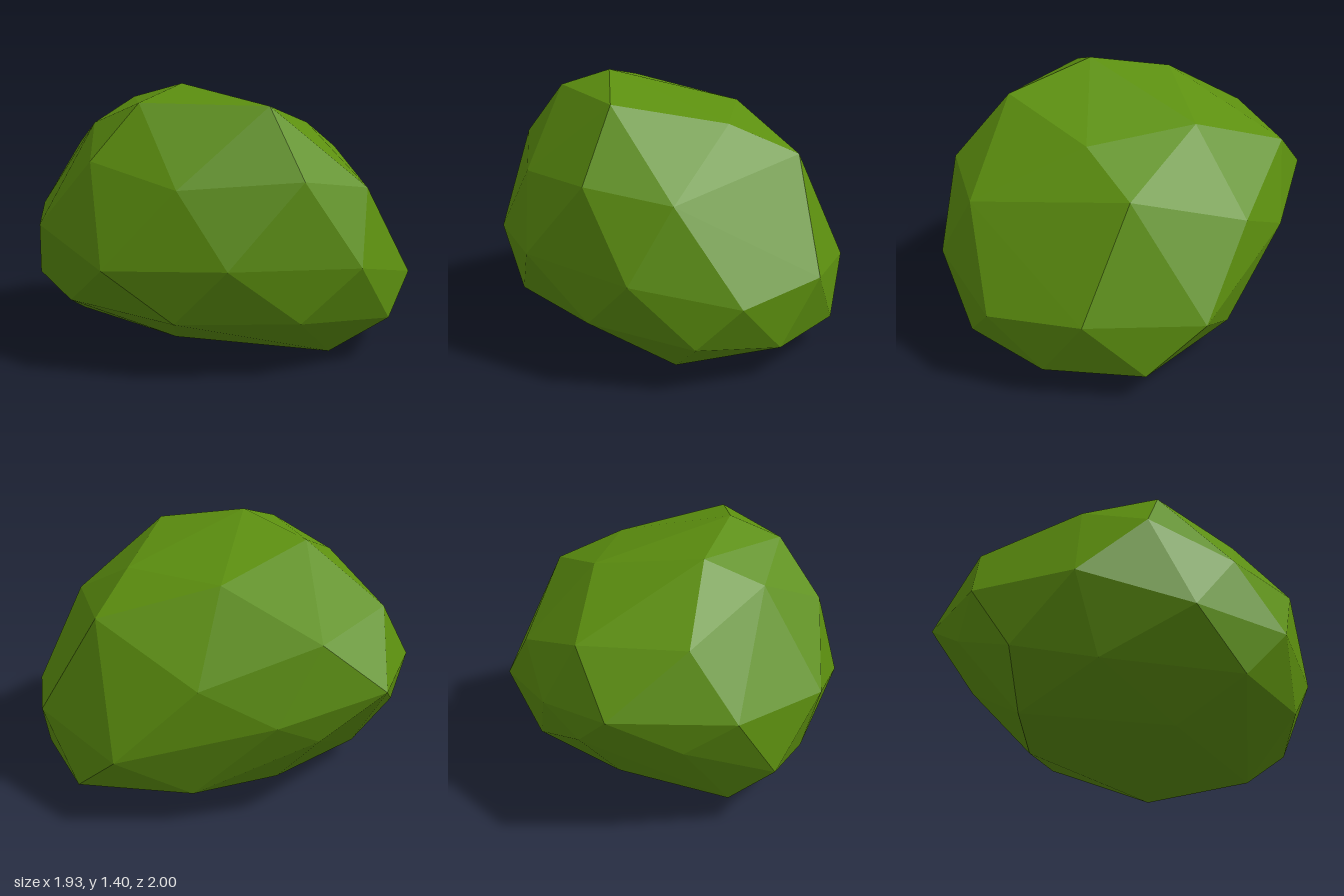
import * as THREE from 'three';
import { ConvexGeometry } from 'three/addons/geometries/ConvexGeometry.js';

// Faceted foliage clump: loose horizontal rings of corners, wrapped by a convex skin
const crown = [
  [-0.28, 1.4, 0.2], [0, 1.3, 0.63], [-0.54, 1.31, 0.27], [-0.38, 1.315, -0.24],
  [0.22, 1.2, -0.33], [0.44, 1.18, 0.23],
];
const shoulder = [
  [0.74, 1.02, 0.03], [0.45, 0.9, 0.815], [0.03, 0.965, 0.93], [-0.5, 0.92, 0.65], [-0.79, 1.03, 0.25],
  [-0.65, 1.19, -0.11], [-0.56, 1.04, -0.67], [-0.03, 1.0, -0.835], [0.51, 0.79, -0.57],
];
const waist = [
  [0.965, 0.475, 0.27], [0.77, 0.43, 0.735], [0.31, 0.545, 1], [-0.345, 0.565, 0.885], [-0.82, 0.53, 0.475],
  [-0.97, 0.675, -0.07], [-0.8, 0.7, -0.62], [-0.31, 0.745, -1], [0.21, 0.61, -0.81], [0.86, 0.4, -0.34],
];
const skirt = [
  [0.92, 0.15, -0.04], [0.85, 0.16, 0.47], [0.58, 0.23, 0.84], [0.03, 0.28, 0.91], [-0.53, 0.285, 0.68],
  [-0.84, 0.28, 0.02], [-0.89, 0.35, -0.39], [-0.58, 0.54, -0.75], [-0.03, 0.485, -0.84], [0.5, 0.19, -0.5],
];
const base = [
  [0.59, 0, 0.05], [0.36, 0.02, 0.63], [-0.37, 0.105, 0.32], [-0.64, 0.11, -0.4],
  [-0.03, 0.12, -0.5], [0.2, 0.045, -0.08],
];

export function createModel() {
  const leafGreen = new THREE.MeshStandardMaterial({ color: 0x5c8f0f });
  leafGreen.name = 'leafGreen';

  const points = [crown, shoulder, waist, skirt, base].flat().map((p) => new THREE.Vector3(...p));
  const foliage = new THREE.Mesh(new ConvexGeometry(points), leafGreen);
  foliage.name = 'foliage';

  const bush = new THREE.Group();
  bush.name = 'bush';
  bush.add(foliage);
  return bush;
}
